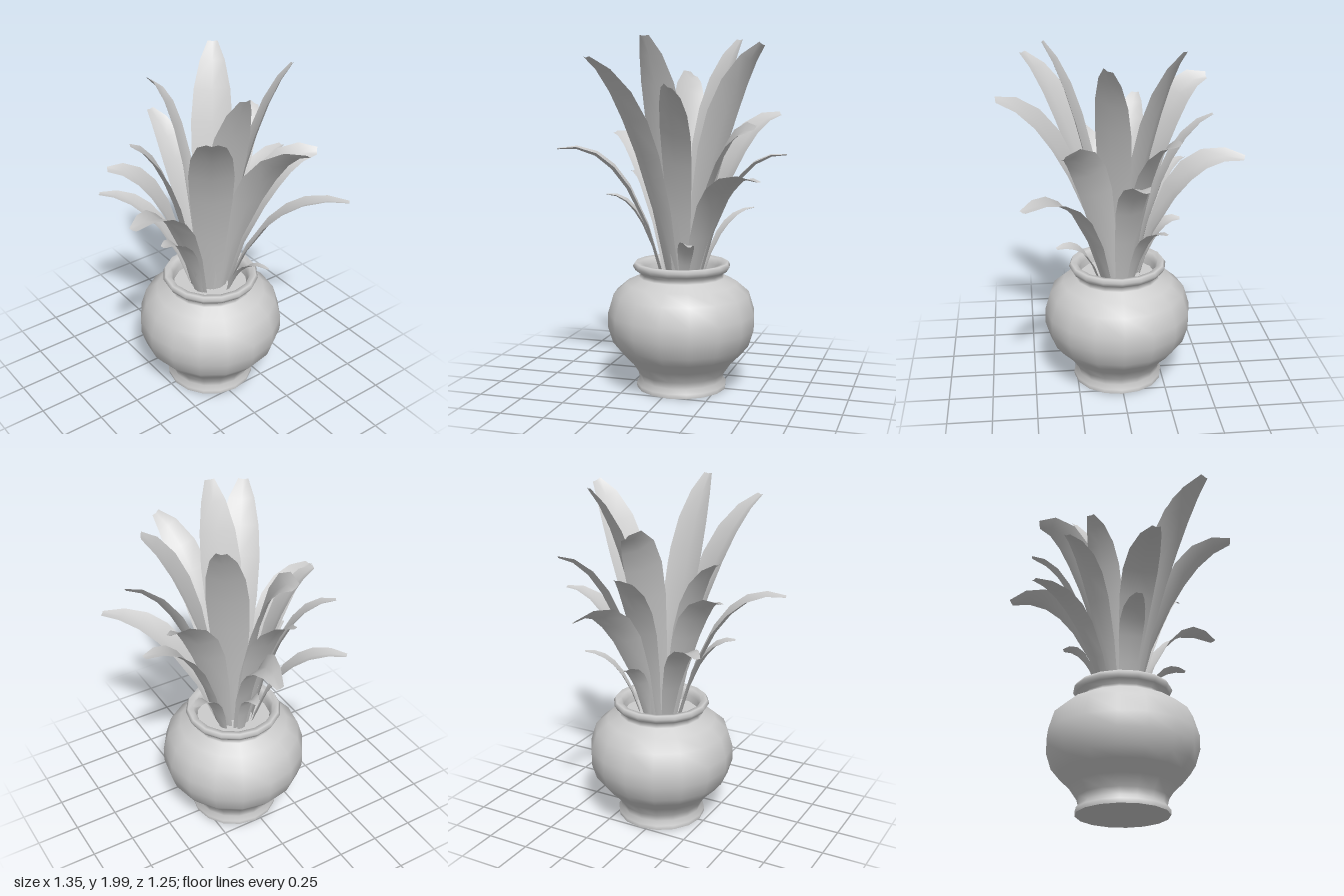
import * as THREE from 'three';

const CX = 0.008, CZ = -0.038, BASE_Y = 0.64;

// Leaves: tip x, y, z, full width, rise of the bending point, distance of the base
// from the centre, roll about the midrib in degrees
const LEAVES = [
  [0.40, 1.99, 0.05, 0.23, 0.78, 0.04, 0],
  [-0.32, 1.99, -0.29, 0.23, 0.82, 0.03, 0],
  [0.10, 1.95, -0.51, 0.22, 0.84, 0.05, 25],
  [0.51, 1.88, 0.33, 0.24, 0.86, 0.06, 0],
  [-0.49, 1.79, 0.03, 0.21, 1.04, 0.05, -38],
  [0.66, 1.73, -0.16, 0.20, 0.95, 0.07, 30],
  [-0.14, 1.62, 0.38, 0.18, 0.92, 0.08, 0],
  [-0.53, 1.58, 0.0, 0.18, 0.92, 0.09, 5],
  [-0.25, 1.57, -0.55, 0.20, 1.0, 0.09, -22],
  [0.33, 1.51, -0.52, 0.19, 1.06, 0.09, -40],
  [-0.26, 1.45, 0.46, 0.17, 1.05, 0.10, 15],
  [0.24, 1.38, 0.62, 0.20, 1.14, 0.10, 0],
  [-0.68, 1.37, -0.17, 0.17, 1.18, 0.10, -32],
  [-0.08, 1.35, -0.62, 0.16, 1.07, 0.10, 0],
  [0.54, 1.26, -0.59, 0.17, 1.16, 0.10, 8],
  [-0.44, 1.20, 0.42, 0.14, 1.12, 0.11, 0],
  [0.13, 1.12, 0.37, 0.14, 1.05, 0.11, 0],
  [-0.22, 1.03, -0.41, 0.10, 1.0, 0.12, 0],
  [-0.34, 1.00, -0.09, 0.10, 1.1, 0.12, -20],
  [0.36, 0.88, -0.18, 0.09, 1.2, 0.12, 15],
];

// Cupped strip that follows a bending path, widest past the middle, with a blunt tip
function leafGeometry([tx, ty, tz, width, rise, baseR, rollDegrees]) {
  const dx = tx - CX, dz = tz - CZ, reach = Math.hypot(dx, dz);
  const out = new THREE.Vector3(dx / reach, 0, dz / reach);
  const level = new THREE.Vector3(out.z, 0, -out.x);
  const at = (r, y) => new THREE.Vector3(CX + out.x * r, y, CZ + out.z * r);
  const path = new THREE.QuadraticBezierCurve3(
    at(baseR, BASE_Y),
    at(baseR + (reach - baseR) * 0.33, BASE_Y + (ty - BASE_Y) * rise),
    at(reach, ty));
  const profile = [[0, 0.46], [0.2, 0.72], [0.4, 0.95], [0.55, 1], [0.7, 0.88], [0.86, 0.6], [1, 0.24]];
  const pos = [], index = [];
  profile.forEach(([t, w], i) => {
    const p = path.getPoint(t), tangent = path.getTangent(t);
    // The roll grows from the base and is full by the middle of the leaf
    const roll = THREE.MathUtils.degToRad(rollDegrees) * Math.min(1, 0.3 + t * 1.6);
    const side = level.clone().applyAxisAngle(tangent, -roll);
    const up = tangent.clone().cross(side);
    if (up.dot(level.clone().cross(side)) > 1) up.negate();
    for (const s of [-1, 0, 1]) {
      const v = p.clone().addScaledVector(side, s * w * width / 2)
        .addScaledVector(up, s === 0 ? -0.13 * w * width : 0);
      pos.push(v.x, v.y, v.z);
    }
    if (i === 0) return;
    for (let k = 0; k < 2; k++) {
      const a = (i - 1) * 3 + k, b = a + 1, c = a + 3, d = a + 4;
      index.push(a, c, b, b, c, d);
    }
  });
  const g = new THREE.BufferGeometry();
  g.setAttribute('position', new THREE.Float32BufferAttribute(pos, 3));
  g.setIndex(index);
  g.computeVertexNormals();
  return g;
}

export function createModel() {
  const group = new THREE.Group();
  const grey = new THREE.MeshStandardMaterial({ color: 0xcccccc, side: THREE.DoubleSide });
  grey.name = 'lightGrey';
  const add = (name, geometry, parent = group) => {
    const mesh = new THREE.Mesh(geometry, grey);
    mesh.name = name;
    parent.add(mesh);
    return mesh;
  };

  // Round-bellied pot with foot, neck and rolled rim
  const profile = [
    [0.258, 0], [0.26, 0.025], [0.24, 0.05], [0.25, 0.09], [0.29, 0.15], [0.35, 0.21], [0.395, 0.265],
    [0.423, 0.355], [0.423, 0.44], [0.39, 0.55], [0.32, 0.61], [0.245, 0.645], [0.235, 0.665],
    [0.265, 0.685], [0.28, 0.71], [0.268, 0.73], [0.235, 0.725], [0.22, 0.69], [0.215, 0.64],
  ].map(([r, y]) => new THREE.Vector2(r, y));
  add('pot', new THREE.LatheGeometry(profile, 16)).position.set(CX, 0, CZ);

  // Closed underside and soil surface
  const bottom = add('potBottom', new THREE.CircleGeometry(0.258, 16));
  bottom.rotation.x = Math.PI / 2;
  bottom.position.set(CX, 0, CZ);
  const soil = add('soil', new THREE.CircleGeometry(0.22, 16));
  soil.rotation.x = -Math.PI / 2;
  soil.position.set(CX, 0.65, CZ);

  // Rosette of arching leaves
  const leaves = new THREE.Group();
  leaves.name = 'leaves';
  LEAVES.forEach((leaf, i) => add(`leaf${i + 1}`, leafGeometry(leaf), leaves));
  group.add(leaves);
  return group;
}
